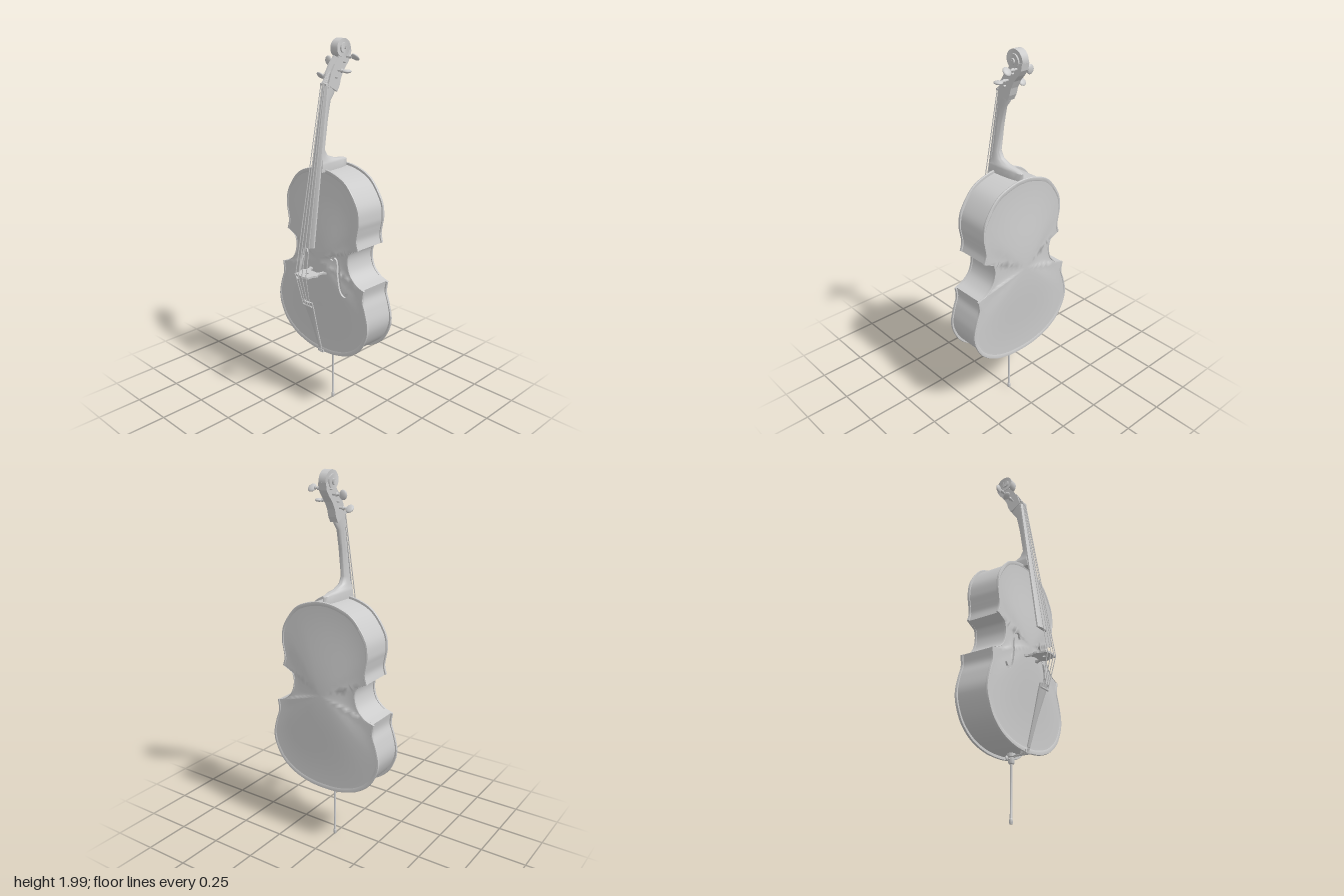
import * as THREE from 'three';
import { mergeVertices, toCreasedNormals } from 'three/addons/utils/BufferGeometryUtils.js';

const V2 = (x, y) => new THREE.Vector2(x, y);
const V3 = (x, y, z) => new THREE.Vector3(x, y, z);
const solid = new THREE.MeshStandardMaterial({ color: 0xcccccc });
const thin = new THREE.MeshStandardMaterial({ color: 0xcccccc, side: THREE.DoubleSide });

function add(parent, name, geometry, material = solid) {
  const mesh = new THREE.Mesh(geometry, material);
  mesh.name = name;
  parent.add(mesh);
  return mesh;
}

// Skin closed cross-sections in order; closed solids are turned outward by their signed volume
function loft(rings, { caps = true, fix = true, crease = 0.55 } = {}) {
  const n = rings[0].length, last = (rings.length - 1) * n, pts = rings.flat(), idx = [];
  for (let i = 0; i < rings.length - 1; i++) for (let j = 0; j < n; j++) {
    const a = i * n + j, b = i * n + (j + 1) % n;
    idx.push(a, b, b + n, a, b + n, a + n);
  }
  if (caps) [rings[0], rings[rings.length - 1]].forEach((ring, k) => {
    const c = pts.length, o = k ? last : 0;
    pts.push(ring.reduce((s, p) => s.add(p), V3(0, 0, 0)).divideScalar(n));
    for (let j = 0; j < n; j++) {
      const a = o + j, b = o + (j + 1) % n;
      k ? idx.push(c, a, b) : idx.push(c, b, a);
    }
  });
  let volume = 0;
  const cross = V3(0, 0, 0);
  for (let i = 0; i < idx.length; i += 3)
    volume += pts[idx[i]].dot(cross.crossVectors(pts[idx[i + 1]], pts[idx[i + 2]]));
  if (fix && volume < 0) idx.reverse();
  const g = new THREE.BufferGeometry().setFromPoints(pts);
  g.setIndex(idx);
  return toCreasedNormals(g, crease);
}

// Round bar between two points
function rod(a, b, r, sides = 8) {
  const g = new THREE.CylinderGeometry(r, r, a.distanceTo(b), sides);
  g.applyQuaternion(new THREE.Quaternion().setFromUnitVectors(V3(0, 1, 0), b.clone().sub(a).normalize()));
  return g.translate((a.x + b.x) / 2, (a.y + b.y) / 2, (a.z + b.z) / 2);
}

// Crowned board from stations [y, front z, half width, thickness]
const slab = stations => loft(stations.map(([y, z, w, t]) => [
  [-1, t], [1, t], [1, t * 0.6], [0.6, t * 0.2], [0, 0], [-0.6, t * 0.2], [-1, t * 0.6],
].map(([x, d]) => V3(x * w, y, z - d))));

// Side profile in (z, y), extruded across x
function sideCut(points, width, x = 0) {
  const g = new THREE.ExtrudeGeometry(new THREE.Shape(points.map(p => V2(...p))), { depth: width, bevelEnabled: false });
  return g.translate(0, 0, -width / 2).rotateY(-Math.PI / 2).translate(x, 0, 0);
}

// Body outline, counter-clockwise: waist, upper bout, waist, lower bout
const MID = 0.88;
function bodyOutline() {
  const waist = [[0.305, 0.778], [0.255, 0.797], [0.21, 0.84], [0.192, 0.9], [0.2, 0.95], [0.225, 0.967], [0.262, 0.985]];
  const upper = [[0.262, 0.985], [0.25, 1.03], [0.257, 1.08], [0.264, 1.13], [0.25, 1.21], [0.18, 1.307], [0.095, 1.35], [0, 1.365]];
  const lower = [[0.305, 0.778], [0.298, 0.72], [0.318, 0.66], [0.336, 0.58], [0.325, 0.51], [0.28, 0.43], [0.2, 0.37], [0.1, 0.338], [0, 0.33]];
  const flip = a => a.map(([x, y]) => [-x, y]).reverse();
  const runs = [[waist, 24], [upper.concat(flip(upper).slice(1)), 64], [flip(waist), 24],
    [flip(lower.concat(flip(lower).slice(1))).map(([x, y]) => [x, y]).reverse(), 72]];
  runs[3][0] = flip(lower).reverse().concat(lower.slice().reverse().slice(1));
  return runs.flatMap(([p, n]) => new THREE.SplineCurve(p.map(q => V2(...q))).getPoints(n).slice(0, -1));
}
const OUT = bodyOutline();
const scaled = s => OUT.map(p => V2(p.x * s, MID + (p.y - MID) * s));

// Arched plate height: 1 at the outline, 0 at the middle, measured along a ray
function reach(x, y) {
  const dx = x, dy = y - MID;
  if (Math.hypot(dx, dy) < 1e-6) return 0;
  let best = 0;
  OUT.forEach((p, i) => {
    const q = OUT[(i + 1) % OUT.length], ex = q.x - p.x, ey = q.y - p.y, py = p.y - MID;
    const den = dx * ey - dy * ex;
    if (Math.abs(den) < 1e-12) return;
    const t = (p.x * ey - py * ex) / den, u = (p.x * dy - py * dx) / den;
    if (t > 0 && u >= -1e-6 && u <= 1.000001) best = Math.max(best, 1 / t);
  });
  return best;
}
const EDGE = 0.955;
const arch = (x, y) => 0.028 + 0.0135 * (1 + Math.cos(Math.PI * Math.min(1, reach(x, y) / EDGE)));
const toBack = z => -0.133 - z;

// Sound hole outline, side = 1 or -1
function soundHole(side) {
  const path = new THREE.SplineCurve([[0.088, 0.893], [0.1, 0.915], [0.122, 0.903], [0.133, 0.86], [0.145, 0.79],
    [0.158, 0.735], [0.18, 0.715], [0.198, 0.737]].map(p => V2(...p)));
  const a = [], b = [];
  for (let i = 0; i <= 36; i++) {
    const t = i / 36, p = path.getPoint(t), d = path.getTangent(t);
    const w = 0.0045 + 0.005 * Math.sin(Math.PI * t) + 0.003 * Math.max(0, 1 - 8 * Math.min(t, 1 - t));
    a.push(V2(side * (p.x - d.y * w), p.y + d.x * w));
    b.push(V2(side * (p.x + d.y * w), p.y - d.x * w));
  }
  return a.concat(b.reverse());
}

// Arched plate: triangulate the outline, halve long edges, then raise by the arch
function plate(holes, back) {
  const contour = scaled(EDGE), all = contour.concat(...holes), pos = [];
  const split = (a, b, c) => {
    const e = [[a, b, c], [b, c, a], [c, a, b]].sort((m, n) => n[0].distanceTo(n[1]) - m[0].distanceTo(m[1]))[0];
    if (e[0].distanceTo(e[1]) > 0.035) {
      const m = e[0].clone().add(e[1]).multiplyScalar(0.5);
      split(e[0], m, e[2]);
      split(m, e[1], e[2]);
      return;
    }
    const ccw = (b.x - a.x) * (c.y - a.y) - (b.y - a.y) * (c.x - a.x) > 0;
    for (const p of ccw !== back ? [a, b, c] : [a, c, b]) pos.push(p.x, p.y, 0);
  };
  THREE.ShapeUtils.triangulateShape(contour, holes).forEach(f => split(...f.map(i => all[i])));
  let g = new THREE.BufferGeometry();
  g.setAttribute('position', new THREE.Float32BufferAttribute(pos, 3));
  g = mergeVertices(g, 1e-6);
  const p = g.attributes.position, nor = [], h = 0.006;
  for (let i = 0; i < p.count; i++) {
    const x = p.getX(i), y = p.getY(i), z = arch(x, y);
    const n = V3((arch(x - h, y) - arch(x + h, y)) / (2 * h), (arch(x, y - h) - arch(x, y + h)) / (2 * h), 1).normalize();
    p.setZ(i, back ? toBack(z) : z);
    nor.push(n.x, n.y, back ? -n.z : n.z);
  }
  g.setAttribute('normal', new THREE.Float32BufferAttribute(nor, 3));
  return g;
}

export function createModel() {
  const root = new THREE.Group();
  root.name = 'cello';

  // Body: ribs, arched plates, rounded overhanging edges, sound hole walls
  const ring = (s, z) => scaled(s).map(p => V3(p.x, p.y, z));
  const holes = [soundHole(1), soundHole(-1)];
  add(root, 'ribs', loft([ring(0.97, -0.152), ring(0.97, 0.019)], { caps: false, fix: false }), thin);
  const rim = [[0.965, 0.018], [0.995, 0.018], [1, 0.024], [0.995, 0.03], [0.97, 0.031], [EDGE, 0.028], [0.965, 0.018]];
  for (const back of [false, true]) {
    const label = back ? 'back' : 'front';
    add(root, label + 'Plate', plate(back ? [] : holes, back), thin);
    add(root, label + 'Edge', loft(rim.map(([s, z]) => ring(s, back ? toBack(z) : z)), { caps: false }));
  }
  holes.forEach(h => add(root, 'soundHoleWall', loft([0, 0.01].map(d =>
    h.map(p => V3(p.x, p.y, arch(p.x, p.y) - d))), { caps: false, fix: false }), thin));

  // Neck with heel: stations [y, back z, half width]
  const neck = [[1.35, -0.155, 0.034], [1.388, -0.155, 0.034], [1.397, -0.13, 0.032], [1.403, -0.07, 0.03], [1.425, -0.012, 0.027],
    [1.46, 0.01, 0.024], [1.61, -0.014, 0.021], [1.7, -0.034, 0.02], [1.735, -0.062, 0.021], [1.78, -0.062, 0.021]];
  add(root, 'neck', loft(neck.map(([y, zb, w]) => {
    const zf = 0.055 - 0.14 * (y - 1.365), pts = [];
    for (let i = 0; i <= 14; i++) {
      const a = Math.PI * i / 14;
      pts.push(V3(w * Math.cos(a), y, zf - (zf - zb) * Math.sin(a)));
    }
    return pts;
  }), { crease: 0.8 }));
  add(root, 'fingerboard', slab([[0.965, 0.135, 0.04, 0.02], [1.37, 0.074, 0.03, 0.019], [1.775, 0.013, 0.02, 0.016]]));
  add(root, 'nut', new THREE.BoxGeometry(0.042, 0.01, 0.024).translate(0, 1.779, 0.004));

  // Pegbox: two cheeks and a floor, open at the front
  const rear = [[-0.16, 1.935], [-0.154, 1.9], [-0.135, 1.873], [-0.108, 1.842], [-0.088, 1.805], [-0.078, 1.768], [-0.062, 1.74]];
  const cheek = [[0, 1.775], [-0.018, 1.83], [-0.045, 1.873], [-0.07, 1.9], [-0.09, 1.935], ...rear];
  const floor = [[-0.03, 1.775], [-0.062, 1.825], [-0.09, 1.862], [-0.105, 1.9], [-0.11, 1.935], ...rear];
  for (const side of [1, -1]) add(root, 'pegboxCheek', sideCut(cheek, 0.01, side * 0.018));
  add(root, 'pegboxFloor', sideCut(floor, 0.028));

  // Scroll: a spiral that narrows in radius while it widens sideways
  const turns = [];
  for (let i = 0; i <= 80; i++) {
    const t = i / 80, a = Math.PI * 1.2 - t * Math.PI * 4.6, r = 0.057 * (1 - 0.8 * t), w = 0.019 + 0.019 * t;
    turns.push([[r, -w], [r, w], [0.003, w], [0.003, -w]].map(([d, x]) => V3(x, 1.943 + d * Math.sin(a), -0.104 + d * Math.cos(a))));
  }
  add(root, 'scroll', loft(turns));

  // Tuning pegs: tapered shaft with collar and flattened head
  const shaft = [[0, -0.034], [0.005, -0.033], [0.006, 0.04], [0.01, 0.043], [0.01, 0.048], [0.006, 0.052], [0.006, 0.06], [0.01, 0.064], [0, 0.066]];
  [[1, 1.905, -0.125, 0.8], [-1, 1.88, -0.105, 0], [1, 1.842, -0.068, Math.PI / 2], [-1, 1.81, -0.05, 0.8]].forEach(([side, y, z, turn]) => {
    const peg = new THREE.Group();
    peg.name = 'tuningPeg';
    add(peg, 'pegShaft', new THREE.LatheGeometry(shaft.map(p => V2(...p)), 12).rotateZ(-Math.PI / 2));
    add(peg, 'pegHead', new THREE.SphereGeometry(1, 16, 12).scale(0.022, 0.024, 0.009).translate(0.082, 0, 0));
    peg.rotation.set(turn, side > 0 ? 0 : Math.PI, 0);
    peg.position.set(0, y, z);
    root.add(peg);
  });

  // Bridge: flat cut-out standing on the front plate
  const half = [[0.022, 0.088], [0.036, 0.075], [0.04, 0.047], [0.063, 0.042], [0.061, 0.056], [0.05, 0.07], [0.046, 0.092],
    [0.06, 0.112], [0.056, 0.126], [0.049, 0.135], [0.044, 0.172], [0.02, 0.18]];
  const bridge = new THREE.Shape([...half, ...half.map(([x, z]) => [-x, z]).reverse()].map(p => V2(...p)));
  bridge.holes.push(new THREE.Path().absarc(0, 0.135, 0.009, 0, Math.PI * 2, true));
  add(root, 'bridge', new THREE.ExtrudeGeometry(bridge, { depth: 0.01, bevelEnabled: false })
    .rotateX(Math.PI / 2).scale(1, 1, 1).translate(0, 0.82, 0));

  // Tailpiece with its bar, tail cord and saddle
  add(root, 'tailpiece', slab([[0.355, 0.046, 0.01, 0.012], [0.5, 0.09, 0.018, 0.014], [0.61, 0.126, 0.03, 0.017], [0.66, 0.141, 0.034, 0.016]]));
  add(root, 'tailpieceBar', rod(V3(-0.033, 0.637, 0.133), V3(0.033, 0.637, 0.133), 0.005));
  add(root, 'saddle', new THREE.BoxGeometry(0.04, 0.016, 0.03).translate(0, 0.335, 0.02));
  for (const x of [-0.006, 0.006]) {
    add(root, 'tailCord', rod(V3(x, 0.37, 0.042), V3(x, 0.327, 0.034), 0.003));
    add(root, 'tailCord', rod(V3(x, 0.327, 0.034), V3(x, 0.325, -0.06), 0.003));
  }

  // Strings: tailpiece, bridge, nut, pegbox
  [-1.5, -0.5, 0.5, 1.5].forEach(k => {
    const crown = 0.004 * (1.5 - Math.abs(k));
    const p = [V3(k * 0.017, 0.64, 0.138), V3(k * 0.026, 0.815, 0.178 + crown), V3(k * 0.009, 1.782, 0.015), V3(k * 0.005, 1.84, -0.045)];
    for (let i = 0; i < 3; i++) add(root, 'string', rod(p[i], p[i + 1], 0.0025, 6));
  });

  // Endpin with collar, thumbscrew and rubber tip
  const pin = [[0, 0], [0.007, 0], [0.009, 0.006], [0.008, 0.024], [0.006, 0.027], [0.006, 0.287], [0.014, 0.288], [0.016, 0.294],
    [0.016, 0.318], [0.021, 0.322], [0.021, 0.338], [0, 0.345]];
  add(root, 'endpin', toCreasedNormals(new THREE.LatheGeometry(pin.map(p => V2(...p)), 20).translate(0, 0, -0.0625), 0.6));
  add(root, 'thumbscrew', rod(V3(-0.038, 0.309, -0.0625), V3(-0.01, 0.309, -0.0625), 0.004));
  add(root, 'thumbscrewHead', new THREE.SphereGeometry(1, 12, 8).scale(0.011, 0.011, 0.005).translate(-0.04, 0.309, -0.0625));
  return root;
}
